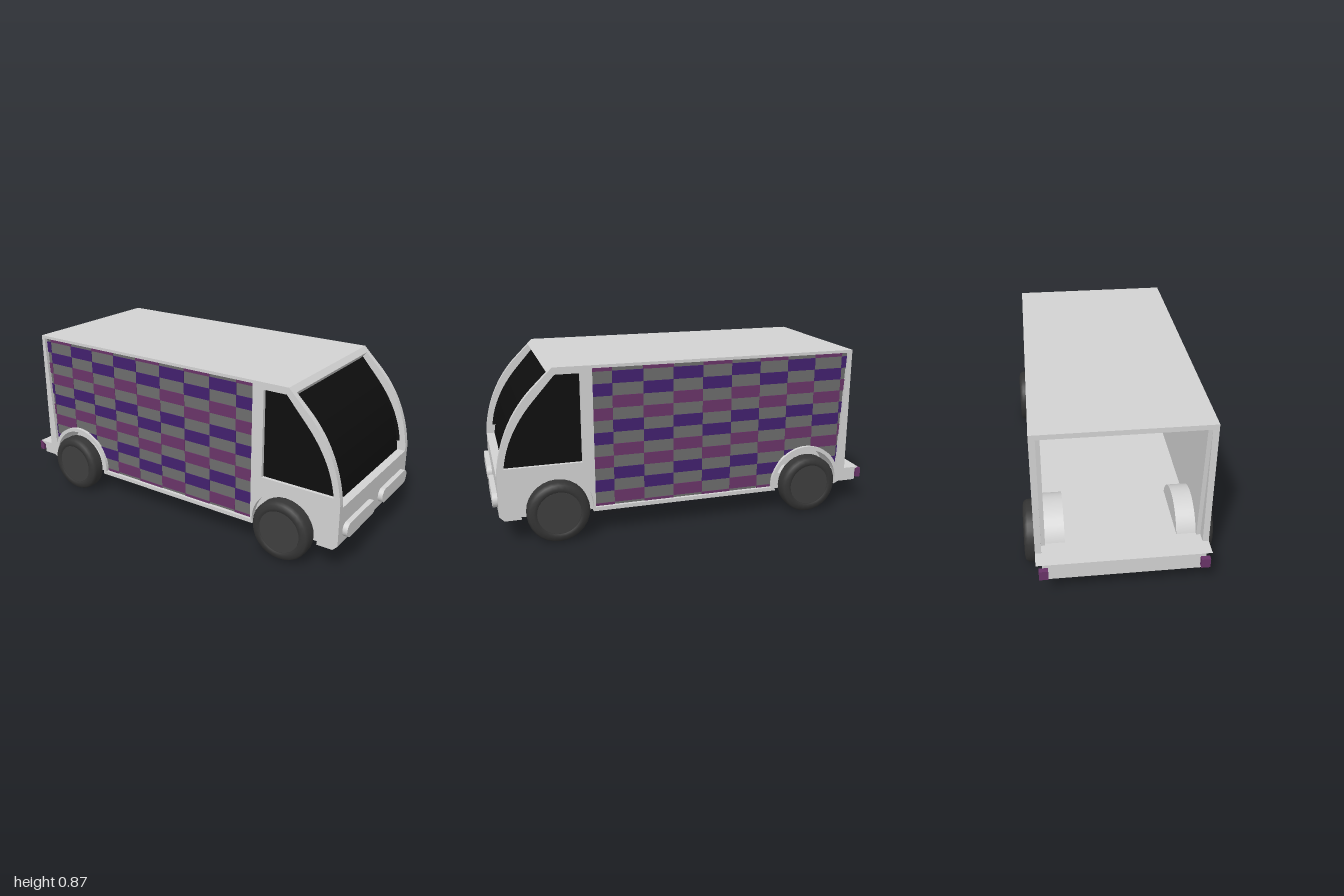
import * as THREE from 'three';

const mat = (name, color, side = THREE.FrontSide) => {
  const m = new THREE.MeshStandardMaterial({ color, side });
  m.name = name;
  return m;
};

export function createModel() {
  const van = new THREE.Group();
  van.name = 'van';
  const body = mat('light grey body', 0xd2d2d2, THREE.DoubleSide);
  const grey = mat('panel grey', 0x6c6c6c);
  const violet = mat('violet', 0x42206e);
  const plum = mat('plum', 0x693468);
  const black = mat('black glass', 0x0e0e0e);
  const tyre = mat('tyre grey', 0x353535);
  const hub = mat('hub grey', 0x3e3e3e);

  const HALF = 0.415, WALL = 0.03, AXLE_Y = 0.155, REAR = -0.655, FRONT = 0.69;
  const ARCH = 0.18, RIM = 0.2;

  const add = (name, geo, material, x = 0, y = 0, z = 0, parent = van) => {
    const m = new THREE.Mesh(geo, material);
    m.name = name;
    m.position.set(x, y, z);
    parent.add(m);
    return m;
  };
  const box = (name, material, x0, x1, y0, y1, z0, z1) =>
    add(name, new THREE.BoxGeometry(x1 - x0, y1 - y0, z1 - z0), material,
      (x0 + x1) / 2, (y0 + y1) / 2, (z0 + z1) / 2);
  const extrude = (shape, depth) =>
    new THREE.ExtrudeGeometry(shape, { depth, bevelEnabled: false, curveSegments: 16 });
  // A plate between z0 and z1 on one side (s = 1 or -1)
  const sidePlate = (name, shape, material, s, z0, z1) =>
    add(name, extrude(shape, z1 - z0), material, 0, 0, s > 0 ? z0 : -z1);
  const poly = (pts) => new THREE.Shape(pts.map(([x, y]) => new THREE.Vector2(x, y)));
  const cutArch = (shape, cx) => {
    const a = Math.asin((AXLE_Y - 0.125) / ARCH);
    shape.absarc(cx, AXLE_Y, ARCH, Math.PI + a, -a, true);
  };

  // Openings in the side wall
  const windowShape = () => {
    const w = new THREE.Shape();
    w.moveTo(0.56, 0.39);
    w.lineTo(0.94, 0.39);
    w.quadraticCurveTo(0.92, 0.56, 0.79, 0.71);
    w.lineTo(0.68, 0.835);
    w.lineTo(0.56, 0.835);
    w.closePath();
    return w;
  };
  const panelShape = () => {
    const p = new THREE.Shape();
    p.moveTo(-0.87, 0.23);
    p.absarc(REAR, AXLE_Y, RIM, Math.PI - Math.asin(0.075 / RIM), 0, true);
    p.lineTo(REAR + RIM, 0.145);
    p.lineTo(0.5, 0.145);
    p.lineTo(0.5, 0.855);
    p.lineTo(-0.87, 0.855);
    p.closePath();
    return p;
  };

  // Outer side frame with wheel arches, tail step and curved nose
  const frame = new THREE.Shape();
  frame.moveTo(-0.975, 0.125);
  cutArch(frame, REAR);
  cutArch(frame, FRONT);
  frame.lineTo(0.95, 0.125);
  frame.lineTo(0.975, 0.15);
  frame.lineTo(0.975, 0.36);
  frame.quadraticCurveTo(0.95, 0.6, 0.8, 0.76);
  frame.lineTo(0.69, 0.87);
  frame.lineTo(-0.89, 0.87);
  frame.lineTo(-0.89, 0.21);
  frame.lineTo(-0.975, 0.21);
  frame.closePath();
  frame.holes.push(windowShape(), panelShape());

  // Inner lining of the load space
  const lining = new THREE.Shape();
  lining.moveTo(-0.89, 0.125);
  cutArch(lining, REAR);
  lining.lineTo(0.5, 0.125);
  lining.lineTo(0.5, 0.86);
  lining.lineTo(-0.89, 0.86);
  lining.closePath();

  // Checker cell whose lower edge is cut by the rear arch
  const archTop = (x) => {
    const d = (RIM - 0.01) ** 2 - (x - REAR) ** 2;
    return d > 0 ? AXLE_Y + Math.sqrt(d) : 0;
  };
  const cellShape = (x0, x1, y0, y1) => {
    const low = [], n = 12;
    for (let i = 0; i <= n; i++) {
      const x = x0 + (x1 - x0) * i / n;
      if (archTop(x) < y1 - 0.001) low.push([x, Math.max(y0, archTop(x))]);
    }
    if (low.length < 2) return null;
    return poly([...low, [low[low.length - 1][0], y1], [low[0][0], y1]]);
  };

  const inner = HALF - WALL;
  for (const s of [1, -1]) {
    sidePlate('sideFrame', frame, body, s, inner, HALF);
    sidePlate('sideLining', lining, body, s, inner - 0.02, inner);
    sidePlate('sideWindow', windowShape(), black, s, inner, inner + 0.012);
    sidePlate('sidePanel', panelShape(), grey, s, inner, inner + 0.012);

    // Checker pattern
    for (let c = -4; c < 6; c++) for (let k = -1; k < 12; k++) {
      if ((c + k) % 2 !== 0) continue;
      const x0 = Math.max(-0.87, -0.375 + c * 0.155), x1 = Math.min(0.5, -0.22 + c * 0.155);
      const y1 = Math.min(0.855, 0.834 - k * 0.0615), y0 = Math.max(0.145, 0.7725 - k * 0.0615);
      if (x1 - x0 < 0.005 || y1 - y0 < 0.005) continue;
      const cell = cellShape(x0, x1, y0, y1);
      const odd = Math.floor((k + 40) / 2) % 2;
      if (cell) sidePlate('checker', cell, odd ? plum : violet, s, inner + 0.012, inner + 0.015);
    }

    // Rear wheel well bulging into the load space
    const well = add('wheelWell', new THREE.CylinderGeometry(ARCH, ARCH, 0.115, 20, 1, true, Math.PI / 2, Math.PI),
      body, REAR, AXLE_Y, s * 0.3275);
    well.rotation.x = Math.PI / 2;
    add('wheelWellCap', new THREE.CircleGeometry(ARCH, 20, 0, Math.PI), body, REAR, AXLE_Y, s * 0.27);

    // Tail light
    box('tailLight', plum, -1, -0.975, 0.145, 0.195, s * 0.38 - 0.022, s * 0.38 + 0.022);

    // Headlight pill
    const pill = new THREE.Shape();
    pill.absarc(0.1275, 0, 0.0375, -Math.PI / 2, Math.PI / 2, false);
    pill.absarc(-0.1275, 0, 0.0375, Math.PI / 2, Math.PI * 1.5, false);
    add('headlight', extrude(pill, 0.025), body, 0.975, 0.2125, s * 0.207).rotation.y = Math.PI / 2;

    // Wheels: tyre with a shallow hub disc
    for (const x of [REAR, FRONT]) {
      const wheel = new THREE.Group();
      wheel.name = 'wheel';
      wheel.position.set(x, AXLE_Y, s * 0.4);
      wheel.rotation.x = s * Math.PI / 2;
      van.add(wheel);
      const profile = [[0, 0], [0.155, 0], [0.155, 0], [0.155, 0.045], [0.145, 0.06], [0.125, 0.065],
        [0.11, 0.065], [0.11, 0.058], [0, 0.058]].map(([r, h]) => new THREE.Vector2(r, h));
      add('tyre', new THREE.LatheGeometry(profile, 28), tyre, 0, 0, 0, wheel);
      add('hub', new THREE.CylinderGeometry(0.108, 0.108, 0.01, 28), hub, 0, 0.056, 0, wheel);
    }
  }

  // Axles
  for (const x of [REAR, FRONT])
    add('axle', new THREE.CylinderGeometry(0.05, 0.05, 0.82, 20), tyre, x, AXLE_Y, 0).rotation.x = Math.PI / 2;

  // Floor and cab bulkhead
  box('floor', body, -0.975, 0.5, 0.125, 0.21, -inner, inner);
  box('bulkhead', body, 0.5, 0.53, 0.125, 0.86, -inner, inner);

  // Crosswise parts: roof with header, nose and windscreen
  const across = (name, shape, material) =>
    add(name, extrude(shape, 2 * inner), material, 0, 0, -inner);
  across('roof', poly([[-0.89, 0.845], [0.65, 0.845], [0.685, 0.81], [0.715, 0.845], [0.69, 0.87], [-0.89, 0.87]]), body);
  across('nose', poly([[0.5, 0.125], [0.95, 0.125], [0.975, 0.15], [0.975, 0.34], [0.5, 0.34]]), body);
  const screen = new THREE.Shape();
  screen.moveTo(0.6, 0.335);
  screen.lineTo(0.932, 0.335);
  screen.quadraticCurveTo(0.905, 0.57, 0.77, 0.725);
  screen.lineTo(0.685, 0.812);
  screen.lineTo(0.6, 0.812);
  screen.closePath();
  across('windscreen', screen, black);

  return van;
}
